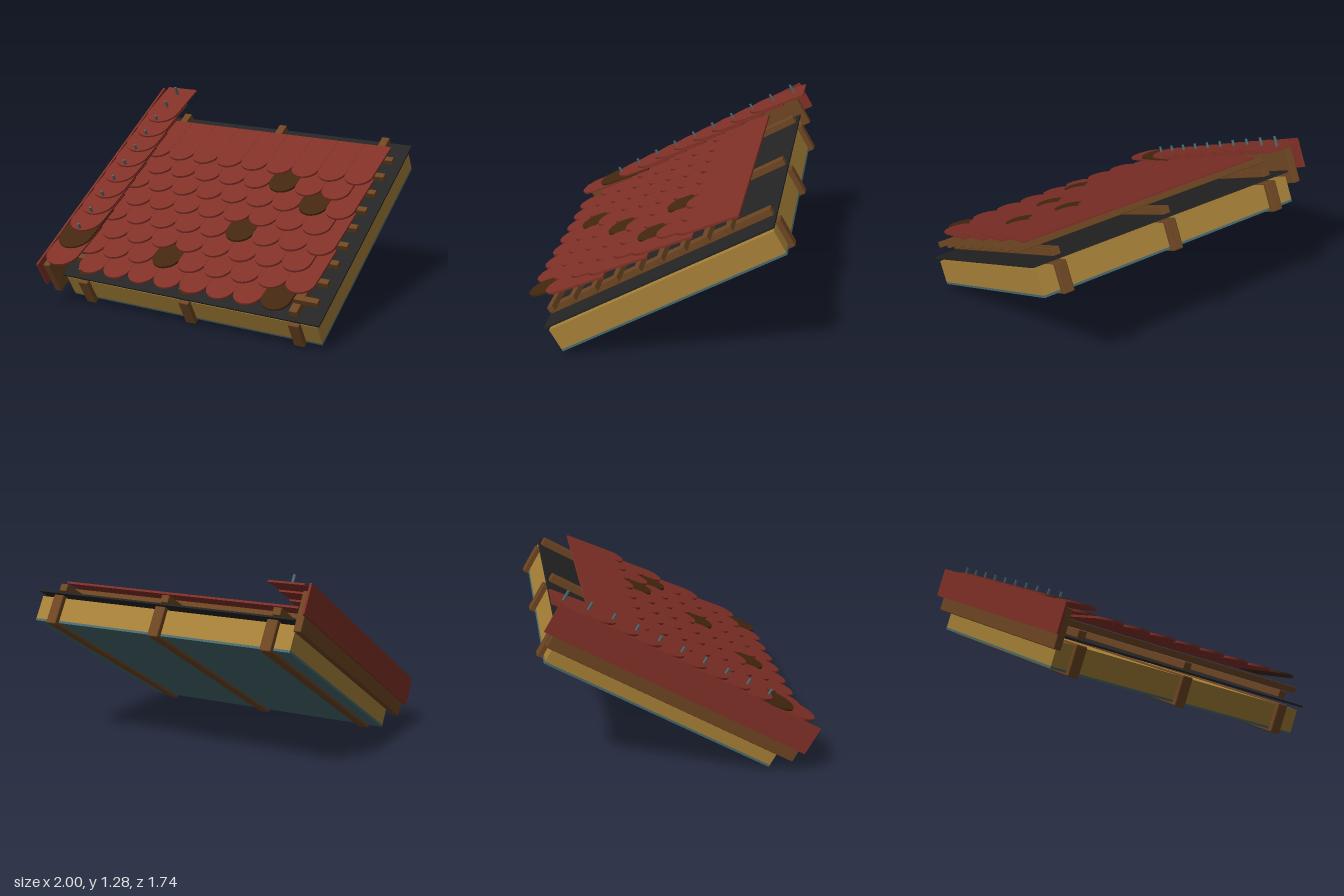
import * as THREE from 'three';
import { RoundedBoxGeometry } from 'three/addons/geometries/RoundedBoxGeometry.js';

const mat = (name, color) => {
  const m = new THREE.MeshStandardMaterial({ color });
  m.name = name;
  return m;
};

// A flat tile: straight sides and a semicircular lower end, tip at the origin.
function tileGeometry(width, length, thickness) {
  const r = width / 2;
  const s = new THREE.Shape();
  s.moveTo(r, r);
  s.lineTo(r, length);
  s.lineTo(-r, length);
  s.lineTo(-r, r);
  s.absarc(0, r, r, Math.PI, Math.PI * 2, false);
  const g = new THREE.ExtrudeGeometry(s, { depth: thickness, bevelEnabled: false, curveSegments: 16 });
  return g.rotateX(-Math.PI / 2);
}

export function createModel() {
  const red = mat('clay red', 0x803027);
  const dark = mat('weathered brown', 0x43270f);
  const wood = mat('timber brown', 0x6d4522);
  const yellow = mat('insulation yellow', 0xa68037);
  const teal = mat('teal sheet and steel', 0x466a6e);
  const black = mat('membrane black', 0x242424);

  // Roof frame: y is normal to the slope, z runs down the slope.
  const roof = new THREE.Group();
  roof.name = 'roofSlope';
  roof.rotation.x = Math.PI / 6;

  const place = (name, geometry, material, x, y, z) => {
    const m = new THREE.Mesh(geometry, material);
    m.name = name;
    m.position.set(x, y, z);
    roof.add(m);
    return m;
  };
  // Box given by its ranges along x, y and z.
  const slab = (name, material, [x0, x1], [y0, y1], [z0, z1], round = 0) => {
    const size = [x1 - x0, y1 - y0, z1 - z0];
    const g = round ? new RoundedBoxGeometry(...size, 1, round) : new THREE.BoxGeometry(...size);
    return place(name, g, material, (x0 + x1) / 2, (y0 + y1) / 2, (z0 + z1) / 2);
  };

  // Layers from the inside out
  slab('ceilingSheet', teal, [-0.91, 0.975], [0.317, 0.332], [-1.14, 0.48]);
  slab('insulation', yellow, [-0.91, 0.975], [0.332, 0.488], [-1.14, 0.48]);
  slab('membrane', black, [-0.925, 1.0], [0.513, 0.525], [-1.16, 0.495]);

  // Rafters with counter battens above them
  for (const x of [-0.763, 0.031, 0.824]) {
    slab('rafter', wood, [x - 0.038, x + 0.038], [0.3, 0.5], [-1.175, 0.513], 0.008);
    slab('counterBatten', wood, [x - 0.028, x + 0.028], [0.535, 0.585], [-1.15, 0.47], 0.004);
  }

  // Tile battens across the slope
  const step = 0.1612;
  for (let i = 0; i < 9; i++) {
    const z = 0.387 - i * step;
    slab('tileBatten', wood, [-0.925, 0.975], [0.59, 0.63], [z - 0.02, z + 0.02], 0.003);
  }

  // Boards closing the verge
  slab('bargeBoard', wood, [-0.975, -0.925], [0.435, 0.69], [-1.195, 0.57], 0.005);
  slab('vergeBoard', red, [-1.0, -0.985], [0.525, 0.72], [-1.255, 0.6]);

  // Staggered field tiles, a few of them weathered
  const pitch = 0.1945;
  const fieldTile = tileGeometry(pitch - 0.001, 0.43, 0.014);
  const weathered = { 0: 0.736, 1: -0.134, 3: 0.255, 5: 0.644, 6: 0.352 };
  for (let row = 0; row < 8; row++) {
    const odd = row % 2;
    for (let i = 0; i < 8 + odd; i++) {
      const x = -0.62 - odd * pitch / 2 + i * pitch;
      const isDark = Math.abs((weathered[row] ?? 9) - x) < 0.05;
      const t = place('fieldTile', fieldTile, isDark ? dark : red, x, 0.687, 0.57 - row * step);
      t.rotation.x = -0.105;
    }
  }

  // Wider verge tiles, each fixed with a steel pin
  const vergeTile = tileGeometry(0.243, 0.425, 0.012);
  const pin = new THREE.CylinderGeometry(0.009, 0.009, 0.08, 10);
  for (let i = 0; i < 10; i++) {
    const z = 0.582 - i * step;
    const t = place('vergeTile', vergeTile, i === 1 ? dark : red, -0.853, 0.727, z);
    t.rotation.x = -0.09;
    place('vergePin', pin, teal, -0.853, 0.735, z - 0.345);
  }

  const model = new THREE.Group();
  model.name = 'roofSection';
  model.add(roof);
  return model;
}
